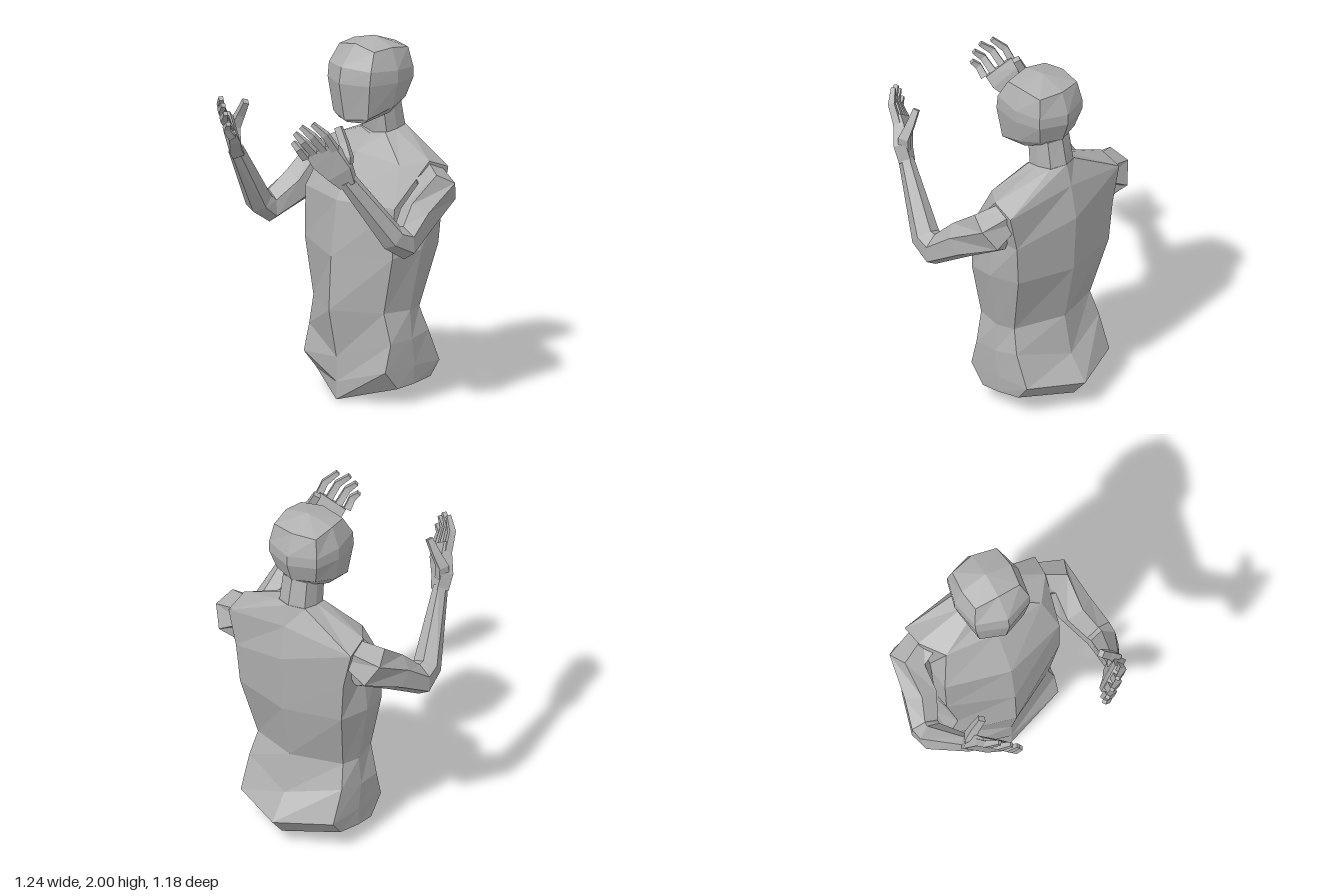
import * as THREE from 'three';

const clay = new THREE.MeshStandardMaterial({ color: 0xb0b0b0 });
clay.name = 'grey clay';

// Faceted skin over closed rings (counter-clockwise about the growth direction), fanned shut at both ends
function skin(name, rings, flip = false, startTip, endTip) {
  const pos = [];
  const tri = (a, b, c) => {
    for (const p of flip ? [a, c, b] : [a, b, c]) pos.push(flip ? -p.x : p.x, p.y, p.z);
  };
  const mid = (r) => r.reduce((s, p) => s.add(p), new THREE.Vector3()).divideScalar(r.length);
  const n = rings[0].length;
  const first = rings[0], last = rings[rings.length - 1];
  const s = startTip || mid(first), e = endTip || mid(last);
  for (let j = 0; j < n; j++) {
    const k = (j + 1) % n;
    tri(s, first[k], first[j]);
    tri(e, last[j], last[k]);
    for (let i = 0; i + 1 < rings.length; i++) {
      const a = rings[i][j], b = rings[i][k], c = rings[i + 1][k], d = rings[i + 1][j];
      tri(a, b, c);
      tri(a, c, d);
    }
  }
  const g = new THREE.BufferGeometry();
  g.setAttribute('position', new THREE.Float32BufferAttribute(pos, 3));
  g.computeVertexNormals();
  const m = new THREE.Mesh(g, clay);
  m.name = name;
  return m;
}

// Half section, front centre to back centre, mirrored into a full ring
function mirrorRing(half) {
  const v = half.map((p) => new THREE.Vector3(...p));
  const other = v.slice(1, -1).reverse().map((p) => new THREE.Vector3(-p.x, p.y, p.z));
  return [...v, ...other];
}

// Limb through sections [x, y, z, half width, half height]; height follows ref
function limb(name, sections, sides, ref, flip) {
  const c = sections.map((s) => new THREE.Vector3(s[0], s[1], s[2]));
  const grow = 1 / Math.cos(Math.PI / sides);
  const rings = sections.map(([, , , w, h], i) => {
    const dir = (a, b) => c[b].clone().sub(c[a]).normalize();
    const t = new THREE.Vector3();
    if (i > 0) t.add(dir(i - 1, i));
    if (i < c.length - 1) t.add(dir(i, i + 1));
    t.normalize();
    const up = ref.clone().addScaledVector(t, -ref.dot(t)).normalize();
    const side = up.clone().cross(t);
    return Array.from({ length: sides }, (_, j) => {
      const a = ((j + 0.5) / sides) * Math.PI * 2;
      return c[i].clone()
        .addScaledVector(side, Math.cos(a) * w * grow)
        .addScaledVector(up, Math.sin(a) * h * grow);
    });
  });
  return skin(name, rings, flip);
}

function makeArm(flip) {
  const arm = new THREE.Group();
  arm.name = flip ? 'rightArm' : 'leftArm';
  const up = new THREE.Vector3(0, 1, 0);
  const across = new THREE.Vector3(-0.8, -0.35, 0.5).normalize();

  // Shoulder, elbow and forearm in one bent limb
  arm.add(limb('armAndForearm', [
    [0.31, 1.29, -0.33, 0.09, 0.07],
    [0.45, 1.2, -0.31, 0.1, 0.12],
    [0.49, 1.09, -0.13, 0.09, 0.09],
    [0.545, 0.985, 0.02, 0.075, 0.08],
    [0.54, 1.03, 0.1, 0.07, 0.065],
    [0.45, 1.38, 0.35, 0.035, 0.045],
  ], 6, up, flip));

  // Palm
  arm.add(limb('palm', [
    [0.45, 1.36, 0.34, 0.034, 0.045],
    [0.435, 1.43, 0.385, 0.034, 0.075],
    [0.385, 1.51, 0.44, 0.03, 0.09],
    [0.365, 1.56, 0.475, 0.02, 0.085],
  ], 4, across, flip));

  // Fingers: knuckle, middle joint, tip
  const fingers = {
    indexFinger: [[0.44, 1.56, 0.425], [0.425, 1.65, 0.485], [0.37, 1.71, 0.53]],
    middleFinger: [[0.39, 1.555, 0.46], [0.37, 1.64, 0.53], [0.315, 1.69, 0.565]],
    ringFinger: [[0.34, 1.535, 0.49], [0.325, 1.605, 0.555], [0.28, 1.65, 0.578]],
    littleFinger: [[0.3, 1.505, 0.515], [0.295, 1.56, 0.56], [0.262, 1.595, 0.575]],
  };
  for (const [name, joints] of Object.entries(fingers)) {
    const size = [0.02, 0.018, 0.012];
    arm.add(limb(name, joints.map((p, i) => [...p, size[i], size[i]]), 4, across, flip));
  }

  // Thumb
  arm.add(limb('thumb', [
    [0.45, 1.42, 0.36, 0.03, 0.03],
    [0.455, 1.51, 0.355, 0.028, 0.03],
    [0.42, 1.58, 0.345, 0.022, 0.022],
    [0.375, 1.66, 0.345, 0.016, 0.02],
  ], 4, across, flip));
  return arm;
}

export function createModel() {
  const model = new THREE.Group();
  model.name = 'mannequinBust';

  // Torso: sections from pelvis to neck base
  const torso = [
    [[0, 0, 0.02], [0.33, 0.095, -0.13], [0.33, 0.105, -0.25], [0.31, 0.12, -0.39], [0, 0.07, -0.5]],
    [[0, 0.1, 0.02], [0.33, 0.2, -0.04], [0.335, 0.21, -0.25], [0.31, 0.2, -0.455], [0, 0.17, -0.59]],
    [[0, 0.24, 0.02], [0.33, 0.35, -0.08], [0.335, 0.36, -0.23], [0.31, 0.385, -0.375], [0, 0.31, -0.48]],
    [[0, 0.51, 0.075], [0.285, 0.52, -0.07], [0.32, 0.52, -0.23], [0.285, 0.52, -0.33], [0, 0.53, -0.43]],
    [[0, 0.81, 0.06], [0.355, 0.84, -0.07], [0.39, 0.87, -0.25], [0.34, 0.87, -0.42], [0, 0.86, -0.5]],
    [[0, 1.12, 0.02], [0.36, 1.12, -0.08], [0.37, 1.1, -0.25], [0.36, 1.1, -0.43], [0, 1.19, -0.52]],
    [[0, 1.37, -0.13], [0.3, 1.34, -0.17], [0.4, 1.36, -0.3], [0.41, 1.31, -0.43], [0, 1.38, -0.48]],
    [[0, 1.45, -0.23], [0.1, 1.47, -0.25], [0.11, 1.48, -0.32], [0.09, 1.49, -0.41], [0, 1.5, -0.445]],
  ];
  model.add(skin('torso', torso.map(mirrorRing), false, new THREE.Vector3(0, 0.02, -0.25)));

  // Neck
  const neck = [
    [[0, 1.44, -0.25], [0.1, 1.46, -0.26], [0.105, 1.47, -0.33], [0.085, 1.48, -0.41], [0, 1.49, -0.445]],
    [[0, 1.62, -0.22], [0.095, 1.62, -0.24], [0.1, 1.63, -0.31], [0.08, 1.64, -0.38], [0, 1.65, -0.41]],
  ];
  model.add(skin('neck', neck.map(mirrorRing)));

  // Head: sections from jaw to crown
  const head = [
    [[0, 1.545, -0.06], [0.1, 1.55, -0.09], [0.13, 1.59, -0.25], [0.1, 1.62, -0.34], [0, 1.63, -0.39]],
    [[0, 1.56, -0.038], [0.14, 1.58, -0.085], [0.17, 1.63, -0.24], [0.13, 1.66, -0.37], [0, 1.65, -0.415]],
    [[0, 1.77, 0], [0.17, 1.77, -0.07], [0.2, 1.77, -0.25], [0.16, 1.77, -0.4], [0, 1.76, -0.455]],
    [[0, 1.86, -0.015], [0.17, 1.85, -0.08], [0.2, 1.84, -0.25], [0.16, 1.83, -0.4], [0, 1.82, -0.455]],
    [[0, 1.975, -0.12], [0.14, 1.95, -0.13], [0.155, 1.96, -0.25], [0.14, 1.94, -0.38], [0, 1.945, -0.41]],
  ];
  model.add(skin('head', head.map(mirrorRing), false, new THREE.Vector3(0, 1.6, -0.26), new THREE.Vector3(0, 2, -0.26)));

  model.add(makeArm(false), makeArm(true));
  return model;
}
